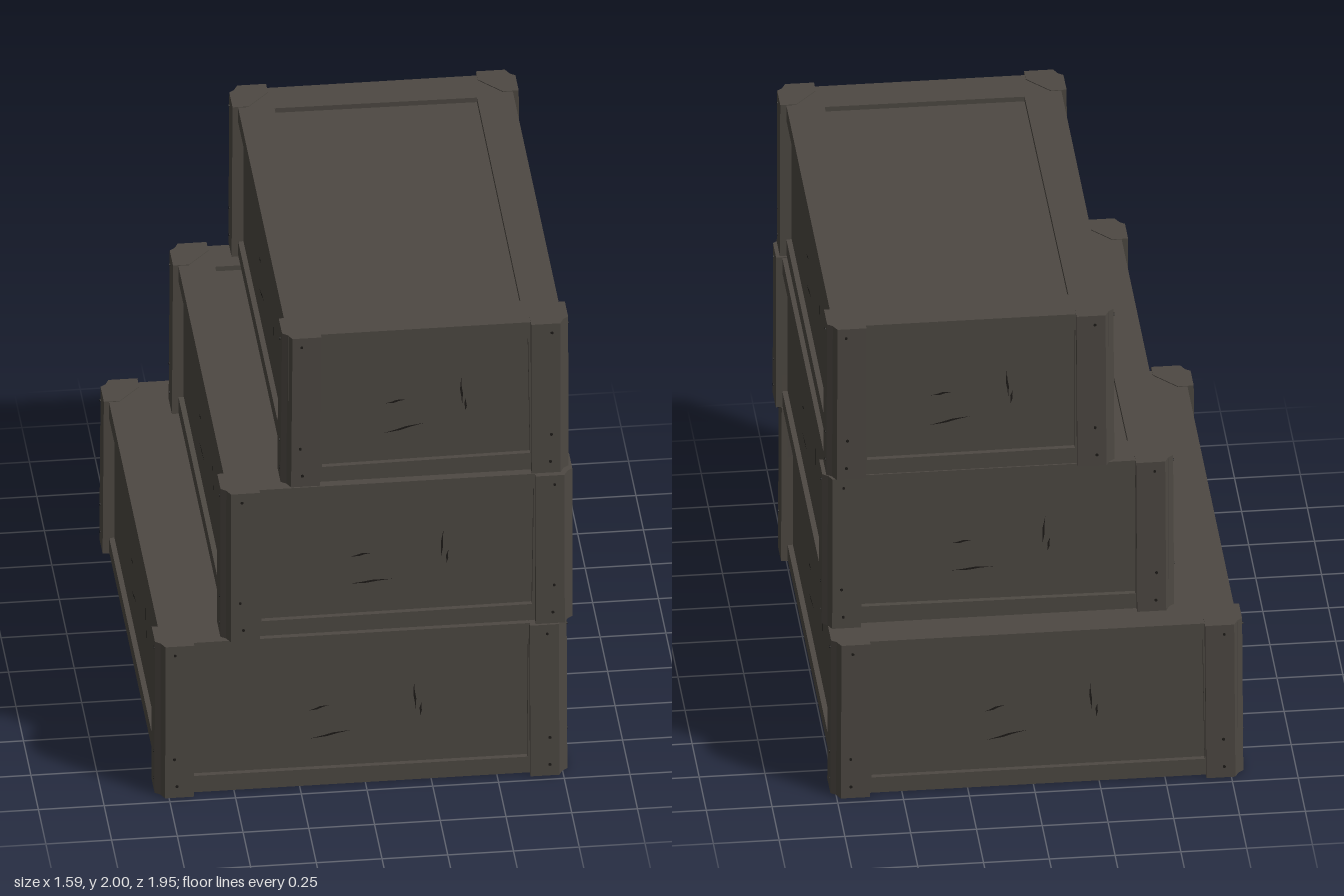
import * as THREE from 'three';

const wood = new THREE.MeshStandardMaterial({ color: 0x4e4943 });
wood.name = 'weathered wood';
const dark = new THREE.MeshStandardMaterial({ color: 0x1d1b18, side: THREE.DoubleSide });
dark.name = 'dark cracks';

// x, y and z ranges of each crate
const CRATES = [
  { name: 'bottomCrate', x: [-0.8, 0.77], y: [0, 0.67], z: [-0.97, 0.975], lidRecess: false },
  { name: 'middleCrate', x: [-0.55, 0.79], y: [0.675, 1.33], z: [-0.85, 0.975], lidRecess: true },
  { name: 'topCrate', x: [-0.32, 0.775], y: [1.34, 2], z: [-0.875, 0.97], lidRecess: true },
];
const INSET = 0.025; // boards sit behind the corner posts
const DEPTH = 0.02; // panels sit behind the boards

let seed = 7;
const wobble = (a) => {
  seed = (seed * 16807) % 2147483647;
  return (seed / 2147483647 - 0.5) * 2 * a;
};

function add(parent, name, geometry, material = wood) {
  const mesh = new THREE.Mesh(geometry, material);
  mesh.name = name;
  parent.add(mesh);
  return mesh;
}

function polygon(points, Type = THREE.Shape) {
  return new Type(points.map(([x, y]) => new THREE.Vector2(x, y)));
}

// Rectangular frame facing +z with a slightly uneven opening
function frameGeometry(w, h, bx, by) {
  const shape = polygon([[-w / 2, -h / 2], [w / 2, -h / 2], [w / 2, h / 2], [-w / 2, h / 2]]);
  const ix = w / 2 - bx, iy = h / 2 - by;
  const corners = [[-ix, -iy], [-ix, iy], [ix, iy], [ix, -iy]];
  shape.holes.push(polygon(corners.map(([x, y]) => [x + wobble(0.005), y + wobble(0.006)]), THREE.Path));
  return new THREE.ExtrudeGeometry(shape, { depth: DEPTH, bevelEnabled: false });
}

// Jagged sliver lying in the xy plane
function crackGeometry(length) {
  const l = length / 2;
  return new THREE.ShapeGeometry(polygon([
    [-l, -0.004], [-l * 0.2, -0.005], [l * 0.3, 0.001], [l, 0.005], [l * 0.1, 0.007], [-l * 0.4, 0.001],
  ]));
}

// One side wall: frame, cracks in the panel, nails in the posts
function makeWall(name, w, h) {
  const wall = new THREE.Group();
  wall.name = name;
  add(wall, 'frame', frameGeometry(w, h - 0.01, 0.128, 0.067));
  const cracks = [[0.18, 0.03, 0.12, 1.5], [0.2, -0.03, 0.06, 1.3], [-0.1, -0.12, 0.16, 0.08], [-0.14, 0.0, 0.08, 0.1]];
  for (const [x, y, length, angle] of cracks) {
    const crack = add(wall, 'crack', crackGeometry(length), dark);
    crack.position.set(x * w * 0.75, y, 0.002);
    crack.rotation.z = angle + wobble(0.1);
  }
  for (const side of [-1, 1]) {
    for (const y of [-h / 2 + 0.05, -h / 2 + 0.17, h / 2 - 0.04]) {
      const nail = add(wall, 'nail', new THREE.CylinderGeometry(0.006, 0.006, 0.004, 6), dark);
      nail.rotation.x = Math.PI / 2;
      nail.position.set(side * (w / 2 - 0.05) + wobble(0.008), y, DEPTH + INSET);
    }
  }
  return wall;
}

// Chamfered corner post, slightly worn out of square
function postGeometry(sx, sz, h) {
  const plan = [[0, -0.155], [0, -0.045], [-0.02, -0.03], [-0.035, 0], [-0.145, 0], [-0.145, -0.06], [-0.06, -0.155]];
  const shape = polygon(plan.map(([x, z]) => [sx * x, -sz * z]));
  const geometry = new THREE.ExtrudeGeometry(shape, { depth: h, bevelEnabled: false, steps: 1 });
  geometry.rotateX(-Math.PI / 2);
  const tilt = wobble(0.006);
  const p = geometry.attributes.position;
  for (let i = 0; i < p.count; i++) {
    const t = p.getY(i) / h;
    p.setX(i, p.getX(i) - sx * Math.abs(tilt) * t);
    p.setZ(i, p.getZ(i) - sz * Math.abs(tilt) * (1 - t));
  }
  geometry.computeVertexNormals();
  return geometry;
}

function makeCrate({ name, x, y, z, lidRecess }) {
  const crate = new THREE.Group();
  crate.name = name;
  const w = x[1] - x[0], h = y[1] - y[0], d = z[1] - z[0];
  crate.position.set((x[0] + x[1]) / 2, y[0], (z[0] + z[1]) / 2);
  const bw = w - 2 * INSET, bd = d - 2 * INSET;
  const top = h - 0.005;

  // Inner box whose faces form the recessed panels
  const coreH = top - DEPTH - 0.002;
  add(crate, 'panels', new THREE.BoxGeometry(bw - 2 * DEPTH, coreH, bd - 2 * DEPTH)).position.y = coreH / 2 + 0.002;

  // Four walls
  const walls = [
    ['frontWall', bw, 0, 0, bd / 2 - DEPTH],
    ['backWall', bw, Math.PI, 0, -bd / 2 + DEPTH],
    ['leftWall', bd, Math.PI / 2, bw / 2 - DEPTH, 0],
    ['rightWall', bd, -Math.PI / 2, -bw / 2 + DEPTH, 0],
  ];
  for (const [wallName, length, angle, px, pz] of walls) {
    const wall = makeWall(wallName, length, h);
    wall.rotation.y = angle;
    wall.position.set(px, h / 2, pz);
    crate.add(wall);
  }

  // Lid, with or without a recessed middle
  if (lidRecess) {
    const lid = add(crate, 'lidFrame', frameGeometry(bw, bd, 0.14, 0.155));
    lid.rotation.x = -Math.PI / 2;
    lid.position.y = top - DEPTH + 0.002;
  } else {
    add(crate, 'lid', new THREE.BoxGeometry(bw, DEPTH, bd)).position.y = top - DEPTH / 2 + 0.002;
  }

  // Corner posts
  for (const sx of [-1, 1]) {
    for (const sz of [-1, 1]) {
      add(crate, 'cornerPost', postGeometry(sx, sz, h)).position.set(sx * w / 2, 0, sz * d / 2);
    }
  }
  return crate;
}

export function createModel() {
  const model = new THREE.Group();
  model.name = 'stackedCrates';
  for (const spec of CRATES) model.add(makeCrate(spec));
  return model;
}
